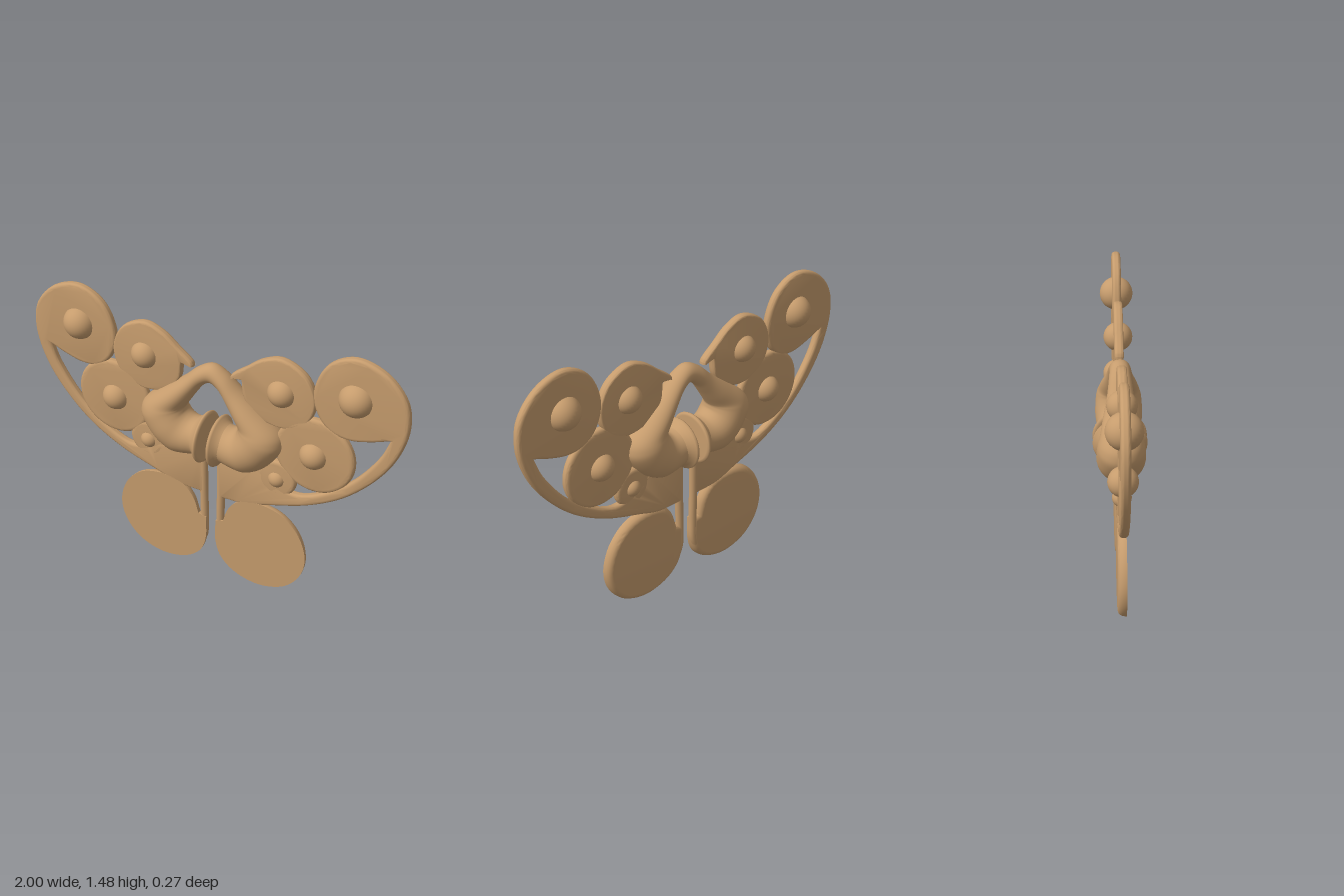
import * as THREE from 'three';
import { toCreasedNormals } from 'three/addons/utils/BufferGeometryUtils.js';

const tan = new THREE.MeshStandardMaterial({ color: 0xc69c6d });
tan.name = 'warm tan';

// Joins smooth runs of points; a sharp corner stays where two runs meet
function outline(side, ...runs) {
  const points = [];
  for (const run of runs) {
    const curve = new THREE.CatmullRomCurve3(run.map(([x, y]) => new THREE.Vector3(x * side, y, 0)));
    const samples = curve.getPoints(run.length === 2 ? 1 : (run.length - 1) * 6);
    for (const p of samples.slice(0, -1)) points.push(new THREE.Vector2(p.x, p.y));
  }
  return new THREE.Shape(points);
}

// Thin plate with rounded rim; flatFront keeps the rounding on the back only
function plate(shape, { bevel = 0.018, thickness = 0.044, flatFront = false } = {}) {
  const round = flatFront ? thickness - 0.006 : 0.016;
  const depth = flatFront ? 0.006 : thickness - 2 * round;
  const geometry = new THREE.ExtrudeGeometry(shape, {
    depth, bevelEnabled: true, bevelThickness: round, bevelSize: bevel,
    bevelOffset: -bevel, bevelSegments: 4, curveSegments: 40,
  });
  if (flatFront) {
    const pos = geometry.attributes.position;
    for (let i = 0; i < pos.count; i++) pos.setZ(i, Math.min(pos.getZ(i), depth));
    geometry.translate(0, 0, thickness / 2 - depth);
  } else {
    geometry.translate(0, 0, -depth / 2);
  }
  return toCreasedNormals(geometry, 0.75);
}

function disc(x, y, r) {
  const shape = new THREE.Shape();
  shape.absarc(x, y, r, 0, Math.PI * 2);
  return shape;
}

// Thick arched tube: each station is outer x, y, inner x, y and half depth
function archGeometry() {
  const half = [
    [0.05, 0.70, 0.05, 0.92, 0.11],
    [0.075, 0.712, 0.07, 0.908, 0.10],
    [0.14, 0.70, 0.105, 0.905, 0.105],
    [0.215, 0.70, 0.13, 0.915, 0.112],
    [0.30, 0.755, 0.145, 0.93, 0.118],
    [0.37, 0.85, 0.149, 0.945, 0.115],
    [0.383, 0.91, 0.149, 0.956, 0.11],
    [0.355, 0.97, 0.143, 0.968, 0.10],
    [0.25, 1.055, 0.12, 1.005, 0.085],
    [0.15, 1.135, 0.085, 1.06, 0.066],
    [0.075, 1.205, 0.045, 1.115, 0.055],
  ];
  const left = half.map(([a, b, c, d, e]) => [-a, b, -c, d, e]).reverse();
  const stations = [...half, [0, 1.24, 0, 1.14, 0.05], ...left];
  const spline = (pick) => new THREE.CatmullRomCurve3(
    stations.map((s) => new THREE.Vector3(...pick(s))), false, 'catmullrom', 0.5);
  const outer = spline((s) => [s[0], s[1], s[4]]);
  const inner = spline((s) => [s[2], s[3], 0]);
  const rings = 132, sides = 36, positions = [], index = [];
  for (let i = 0; i <= rings; i++) {
    const o = outer.getPoint(i / rings), n = inner.getPoint(i / rings);
    for (let j = 0; j < sides; j++) {
      const a = (j / sides) * Math.PI * 2, c = Math.cos(a) / 2;
      positions.push(
        (o.x + n.x) / 2 + (o.x - n.x) * c,
        (o.y + n.y) / 2 + (o.y - n.y) * c,
        o.z * Math.sin(a));
      if (i === rings) continue;
      const p = i * sides + j, q = i * sides + ((j + 1) % sides);
      index.push(p, p + sides, q, q, p + sides, q + sides);
    }
  }
  const geometry = new THREE.BufferGeometry();
  geometry.setAttribute('position', new THREE.Float32BufferAttribute(positions, 3));
  geometry.setIndex(index);
  geometry.computeVertexNormals();
  return geometry;
}

export function createModel() {
  const model = new THREE.Group();
  model.name = 'wingedOrnament';
  const add = (parent, name, geometry, x = 0, y = 0, z = 0) => {
    const mesh = new THREE.Mesh(geometry, tan);
    mesh.name = name;
    mesh.position.set(x, y, z);
    parent.add(mesh);
    return mesh;
  };

  add(model, 'centralArch', archGeometry());

  for (const side of [1, -1]) {
    const wing = new THREE.Group();
    wing.name = side > 0 ? 'leftWing' : 'rightWing';
    model.add(wing);

    // Curved band that sweeps up into the large outer lobe
    add(wing, 'outerLobeAndBand', plate(outline(side,
      [[0.04, 0.48], [0.2, 0.487], [0.31, 0.523], [0.52, 0.597], [0.71, 0.71], [0.87, 0.875],
        [0.96, 1.03], [0.998, 1.19], [0.975, 1.325], [0.87, 1.44], [0.72, 1.48], [0.59, 1.41],
        [0.527, 1.25], [0.56, 1.125], [0.63, 1.06], [0.72, 1.045], [0.82, 1.068], [0.915, 1.105]],
      [[0.915, 1.105], [0.87, 0.995], [0.75, 0.825], [0.62, 0.715], [0.47, 0.645], [0.36, 0.67],
        [0.25, 0.75]],
      [[0.25, 0.75], [0.04, 0.75]],
      [[0.04, 0.75], [0.04, 0.48]])));

    // Teardrop lobe with a thin tail reaching the arch
    add(wing, 'innerLobe', plate(outline(side,
      [[0.10, 1.198], [0.105, 1.218], [0.18, 1.28], [0.265, 1.345], [0.365, 1.375], [0.49, 1.315],
        [0.542, 1.19], [0.505, 1.07], [0.39, 1.005], [0.25, 1.03], [0.175, 1.11], [0.16, 1.205]],
      [[0.16, 1.205], [0.10, 1.198]]), { bevel: 0.01 }));

    add(wing, 'middleLobe', plate(disc(0.547 * side, 0.9, 0.205), { bevel: 0.022 }));
    add(wing, 'smallLobe', plate(disc(0.357 * side, 0.705, 0.102), { bevel: 0.02 }));

    // Lower paddle, flat in front and rounded behind, hanging from a stem
    add(wing, 'lowerPaddle', plate(outline(side,
      [[0.028, 0.33], [0.028, 0.2], [0.06, 0.105], [0.14, 0.035], [0.28, 0.005], [0.42, 0.05],
        [0.505, 0.15], [0.53, 0.27], [0.49, 0.4], [0.40, 0.49], [0.28, 0.52], [0.16, 0.495],
        [0.1, 0.43], [0.07, 0.34]],
      [[0.07, 0.34], [0.028, 0.33]]), { bevel: 0.03, flatFront: true }));
    const stem = new THREE.CatmullRomCurve3([
      [0.049, 0.76], [0.048, 0.5], [0.045, 0.32], [0.05, 0.2], [0.08, 0.13],
    ].map(([x, y]) => new THREE.Vector3(x * side, y, 0)));
    add(wing, 'stem', new THREE.TubeGeometry(stem, 24, 0.021, 16));

    // Balls set through the middle of each lobe
    for (const [name, x, y, r] of [
      ['outerBall', 0.736, 1.268, 0.085], ['innerBall', 0.367, 1.193, 0.072],
      ['middleBall', 0.543, 0.9, 0.072], ['smallBall', 0.357, 0.7, 0.047],
    ]) add(wing, name, new THREE.SphereGeometry(r, 32, 20), x * side, y);

    // Flared end of the arch
    const profile = [[0, 0.028], [0.118, 0.027], [0.13, 0.03], [0.134, 0.038], [0.129, 0.047],
      [0.11, 0.058], [0.098, 0.08]].map(([r, h]) => new THREE.Vector2(r, h));
    const flare = new THREE.LatheGeometry(profile, 40);
    flare.rotateZ(-side * Math.PI / 2);
    add(wing, 'flaredEnd', flare, 0, 0.813);
  }
  return model;
}
